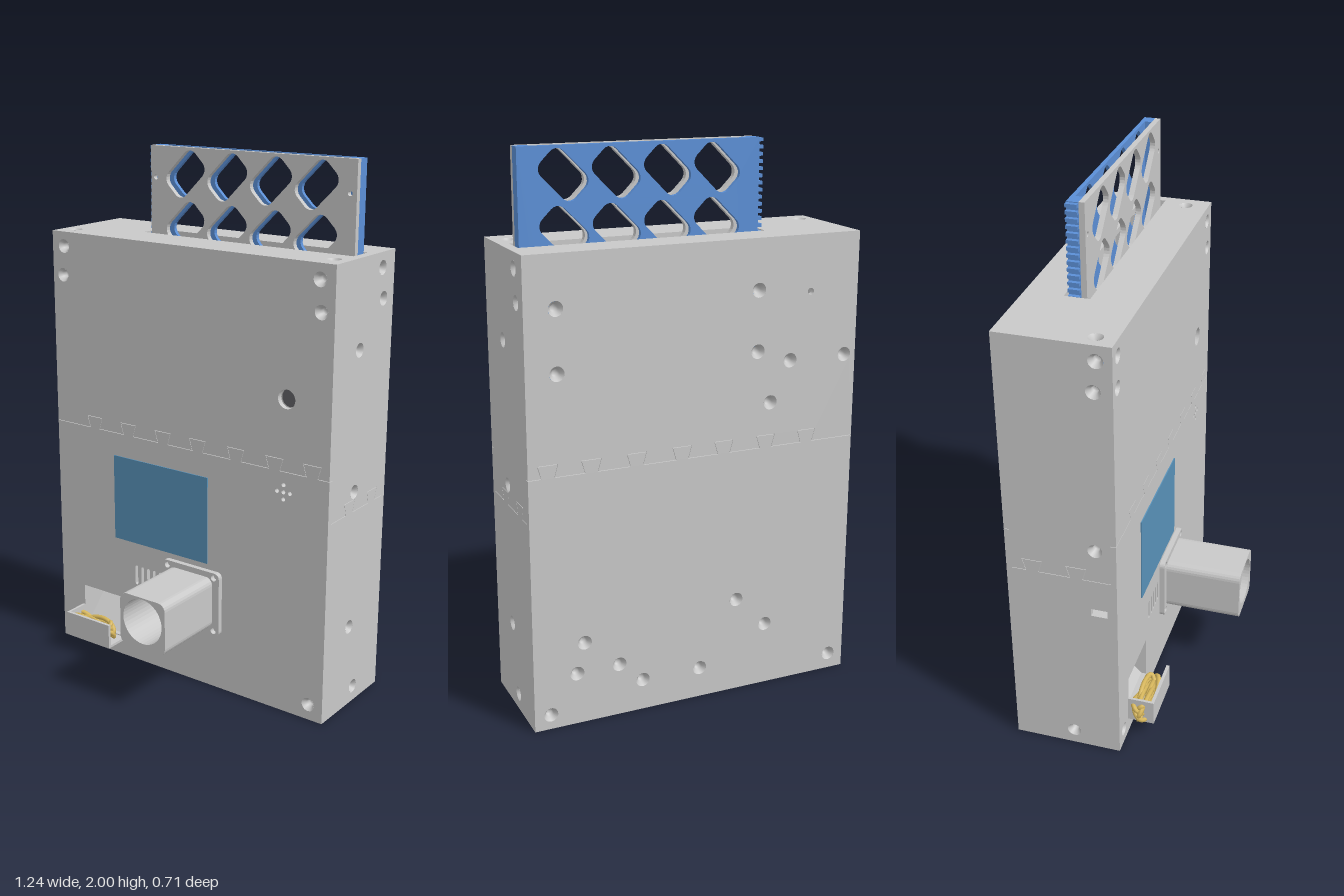
import * as THREE from 'three';

const mat = (name, color, side = THREE.FrontSide) => {
  const m = new THREE.MeshStandardMaterial({ color, side });
  m.name = name;
  return m;
};

export function createModel() {
  const grey = mat('casing grey', 0xc8c8c8, THREE.DoubleSide);
  const blue = mat('frame blue', 0x5b8fd6);
  const screenBlue = mat('screen blue', 0x5891b8);
  const gold = mat('cord gold', 0xd6b65c);
  const dark = mat('dark grey', 0x606064);

  const model = new THREE.Group();
  model.name = 'dispenserBox';
  const W = 0.62, H = 1.68, ZF = 0.045, ZB = -0.355, T = 0.02;

  // ---- helpers ----
  const add = (parent, name, geo, material, x = 0, y = 0, z = 0) => {
    const m = new THREE.Mesh(geo, material);
    m.name = name;
    m.position.set(x, y, z);
    parent.add(m);
    return m;
  };
  const box = (parent, name, material, x0, x1, y0, y1, z0, z1) =>
    add(parent, name, new THREE.BoxGeometry(x1 - x0, y1 - y0, z1 - z0), material,
      (x0 + x1) / 2, (y0 + y1) / 2, (z0 + z1) / 2);
  const poly = (pts) => new THREE.Shape(pts.map(([x, y]) => new THREE.Vector2(x, y)));
  const rect = (x0, x1, y0, y1) => poly([[x0, y0], [x1, y0], [x1, y1], [x0, y1]]);
  const circle = (x, y, r) => new THREE.Shape().absarc(x, y, r, 0, Math.PI * 2, false);
  // rounded rectangle, turned by angle a
  const rounded = (cx, cy, w, h, r, a = 0) => {
    const pts = [];
    [[1, 1], [-1, 1], [-1, -1], [1, -1]].forEach(([sx, sy], q) => {
      for (let i = 0; i <= 5; i++) {
        const t = (q + i / 5) * Math.PI / 2;
        const x = sx * (w / 2 - r) + r * Math.cos(t), y = sy * (h / 2 - r) + r * Math.sin(t);
        pts.push([cx + x * Math.cos(a) - y * Math.sin(a), cy + x * Math.sin(a) + y * Math.cos(a)]);
      }
    });
    return poly(pts);
  };
  const extrude = (shape, holes, depth) => {
    shape.holes.push(...holes);
    return new THREE.ExtrudeGeometry(shape, { depth, bevelEnabled: false, curveSegments: 20 });
  };

  // ---- casing walls: local z = 0 is the outer face ----
  const R = 0.026;
  const sinkGeo = new THREE.LatheGeometry(
    [[0, -0.032], [0.012, -0.032], [0.014, -0.016], [R, 0]].map(([x, y]) => new THREE.Vector2(x, y)), 20);
  sinkGeo.rotateX(Math.PI / 2);
  const wallGroup = (name, pos, rot) => {
    const g = new THREE.Group();
    g.name = name;
    g.position.set(...pos);
    g.rotation.set(...rot);
    model.add(g);
    return g;
  };
  const screwHoles = (g, list) => list.map(([u, v]) => {
    add(g, 'screwHole', sinkGeo, grey, u, v, 0);
    return circle(u, v, R);
  });
  // a row of dovetails along the joint between lower and upper halves
  const seam = (u0, u1, y, centres, gap) => [[u0, y + gap],
    ...[...centres].sort((a, b) => a - b).flatMap((c) => [
      [c - 0.022 - gap, y + gap], [c - 0.035 - gap, y + 0.045 + gap],
      [c + 0.035 + gap, y + 0.045 + gap], [c + 0.022 + gap, y + gap]]),
    [u1, y + gap]];
  const splitWall = (name, pos, rot, u0, u1, y, centres, screws, lowCuts = [], highCuts = []) => {
    const g = wallGroup(name, pos, rot);
    const low = screwHoles(g, screws.filter((s) => s[1] < y)).concat(lowCuts);
    const high = screwHoles(g, screws.filter((s) => s[1] >= y)).concat(highCuts);
    const lower = poly([[u1, 0], ...seam(u0, u1, y, centres, 0).reverse(), [u0, 0]]);
    const upper = poly([...seam(u0, u1, y, centres, 0.002), [u1, H], [u0, H]]);
    add(g, name + 'Lower', extrude(lower, low, T), grey, 0, 0, -T);
    add(g, name + 'Upper', extrude(upper, high, T), grey, 0, 0, -T);
  };

  const tabs = [-0.43, -0.265, -0.1, 0.06, 0.23, 0.395, 0.55];
  const frontCuts = [rect(-0.505, -0.275, 0.08, 0.25)];
  for (let i = 0; i < 5; i++) frontCuts.push(rounded(-0.232 + i * 0.029, 0.365, 0.013, 0.08, 0.006));
  for (const [dx, dy] of [[0, 0], [0.027, 0], [-0.027, 0], [0, 0.027], [0, -0.027]])
    frontCuts.push(circle(0.435 + dx, 0.855 + dy, 0.008));
  splitWall('frontWall', [0, 0, ZF], [0, 0, 0], -W, W, 0.93, tabs,
    [[-0.565, 1.625], [-0.572, 1.515], [0.56, 1.625], [0.568, 1.515], [-0.565, 0.06], [0.56, 0.06]],
    frontCuts, [circle(0.44, 1.195, 0.035)]);
  const backScrews = [[0.51, 1.5], [0.51, 1.284], [-0.227, 1.5], [-0.227, 1.284], [-0.355, 1.24],
    [-0.575, 1.24], [-0.28, 1.095], [0.43, 0.307], [0.46, 0.194], [0.3, 0.196], [0.56, 0.055],
    [0.21, 0.116], [-0.015, 0.115], [-0.16, 0.36], [-0.28, 0.24], [-0.56, 0.06]];
  splitWall('backWall', [0, 0, ZB], [0, Math.PI, 0], -W, W, 0.93, tabs.map((c) => -c),
    backScrews.map(([x, y]) => [-x, y]), [], [circle(0.43, 1.48, 0.012)]);
  splitWall('leftWall', [W, 0, 0], [0, Math.PI / 2, 0], -ZF + T, -ZB - T, 0.77, [0.1, 0.26],
    [[0.27, 1.625], [0.285, 1.515], [0.13, 1.36], [0.13, 0.845], [0.13, 0.32], [0.175, 0.06]]);
  splitWall('rightWall', [-W, 0, 0], [0, -Math.PI / 2, 0], ZB + T, ZF - T, 0.77, [-0.1, -0.26],
    [[-0.01, 1.625], [-0.02, 1.515], [-0.03, 0.9], [-0.13, 0.06]],
    [rect(-0.05, 0.01, 0.62, 0.65)]);

  const top = wallGroup('topWall', [0, H, 0], [-Math.PI / 2, 0, 0]);
  add(top, 'topPlate', extrude(rect(-W + T, W - T, -ZF + T, -ZB - T),
    [...screwHoles(top, [[-0.565, 0.025], [0.56, 0.04]]), rect(-0.315, 0.585, 0.127, 0.218)], T),
    grey, 0, 0, -T);
  const bottom = wallGroup('bottomWall', [0, 0, 0], [Math.PI / 2, 0, 0]);
  add(bottom, 'bottomPlate', extrude(rect(-W + T, W - T, ZB + T, ZF - T),
    screwHoles(bottom, [[0.565, -0.18], [-0.54, -0.21]]), T), grey, 0, 0, -T);

  // ---- sliding rack in the top slot ----
  const rack = new THREE.Group();
  rack.name = 'slidingRack';
  model.add(rack);
  const Y0 = 1.05;
  const windows = () => {
    const list = [];
    for (let r = 0; r < 5; r++)
      for (let c = 0; c < 4; c++)
        list.push(rounded(-0.135 + c * 0.185, 1.904 - r * 0.185, 0.172, 0.112, 0.034, Math.PI / 4));
    return list;
  };
  const pins = [circle(-0.27, 1.885, 0.009), circle(0.552, 1.885, 0.009)];
  add(rack, 'rackFrontPlate', extrude(rect(-0.292, 0.578, Y0, 2), [...windows(), ...pins], 0.02), grey, 0, 0, -0.165);
  add(rack, 'rackBackPlate', extrude(rect(-0.295, 0.578, Y0, 2), windows(), 0.015), blue, 0, 0, -0.206);
  box(rack, 'rackRail', blue, -0.295, -0.245, Y0, 2, -0.191, -0.165);
  box(rack, 'rackRail', blue, 0.53, 0.578, Y0, 2, -0.191, -0.165);
  for (let y = Y0 + 0.01; y < 1.995; y += 0.0245)
    box(rack, 'rackTooth', blue, -0.31, -0.294, y - 0.006, y + 0.006, -0.206, -0.165);

  // ---- inner drive parts ----
  add(model, 'driveKnob', new THREE.CylinderGeometry(0.034, 0.034, 0.13, 14).rotateX(Math.PI / 2),
    dark, 0.44, 1.195, -0.045);
  box(model, 'motor', dark, 0.06, 0.23, 0.6, 0.95, -0.26, -0.09);

  // ---- screen ----
  box(model, 'screen', screenBlue, -0.335, 0.108, 0.5, 0.84, ZF, ZF + 0.004);

  // ---- square tube on a flange ----
  const cx = 0.042, cy = 0.35;
  const flangeHoles = [-1, 1].flatMap((a) => [-1, 1].map((b) => circle(cx + a * 0.108, cy + b * 0.108, 0.012)));
  add(model, 'tubeFlange', extrude(rounded(cx, cy, 0.265, 0.255, 0.02), flangeHoles, 0.02), grey, 0, 0, ZF);
  add(model, 'squareTube', extrude(rounded(cx, cy + 0.003, 0.205, 0.205, 0.03),
    [circle(cx, cy + 0.012, 0.088)], 0.29), grey, 0, 0, ZF + 0.02);

  // ---- outlet chute and tray ----
  const chute = new THREE.Group();
  chute.name = 'outletChute';
  model.add(chute);
  const slope = extrude(poly([[0.025, 0.075], [0.025, 0.08], [-0.14, 0.25], [-0.14, 0.075]]), [], 0.23);
  slope.rotateY(-Math.PI / 2); // profile x becomes z
  add(chute, 'chuteSlope', slope, grey, -0.275);
  box(chute, 'chuteCheek', grey, -0.515, -0.505, 0.075, 0.26, -0.14, 0.025);
  box(chute, 'chuteCheek', grey, -0.275, -0.265, 0.075, 0.26, -0.14, 0.025);
  box(chute, 'chuteCeiling', grey, -0.505, -0.275, 0.25, 0.26, -0.14, 0.025);
  box(chute, 'trayFloor', grey, -0.515, -0.298, 0.066, 0.076, ZF, 0.145);
  box(chute, 'trayFront', grey, -0.515, -0.298, 0.076, 0.165, 0.133, 0.145);
  box(chute, 'traySide', grey, -0.515, -0.505, 0.076, 0.165, ZF, 0.133);

  // ---- bundle of cord lying in the tray ----
  for (let k = 0; k < 7; k++) {
    const pts = [];
    for (let i = 0; i < 16; i++) {
      const t = i / 16 * Math.PI * 2;
      pts.push(new THREE.Vector3(
        -0.428 + (0.108 - (k % 3) * 0.008) * Math.cos(t),
        0.112 + 0.022 * Math.sin(2 * t + k * 1.7) + (k - 3) * 0.004,
        0.09 + (0.034 - (k % 4) * 0.008) * Math.sin(t + 0.25 * Math.sin(k * 2))));
    }
    const loop = new THREE.CatmullRomCurve3(pts, true);
    add(chute, 'cordLoop', new THREE.TubeGeometry(loop, 48, 0.009, 8, true), gold);
  }
  return model;
}
